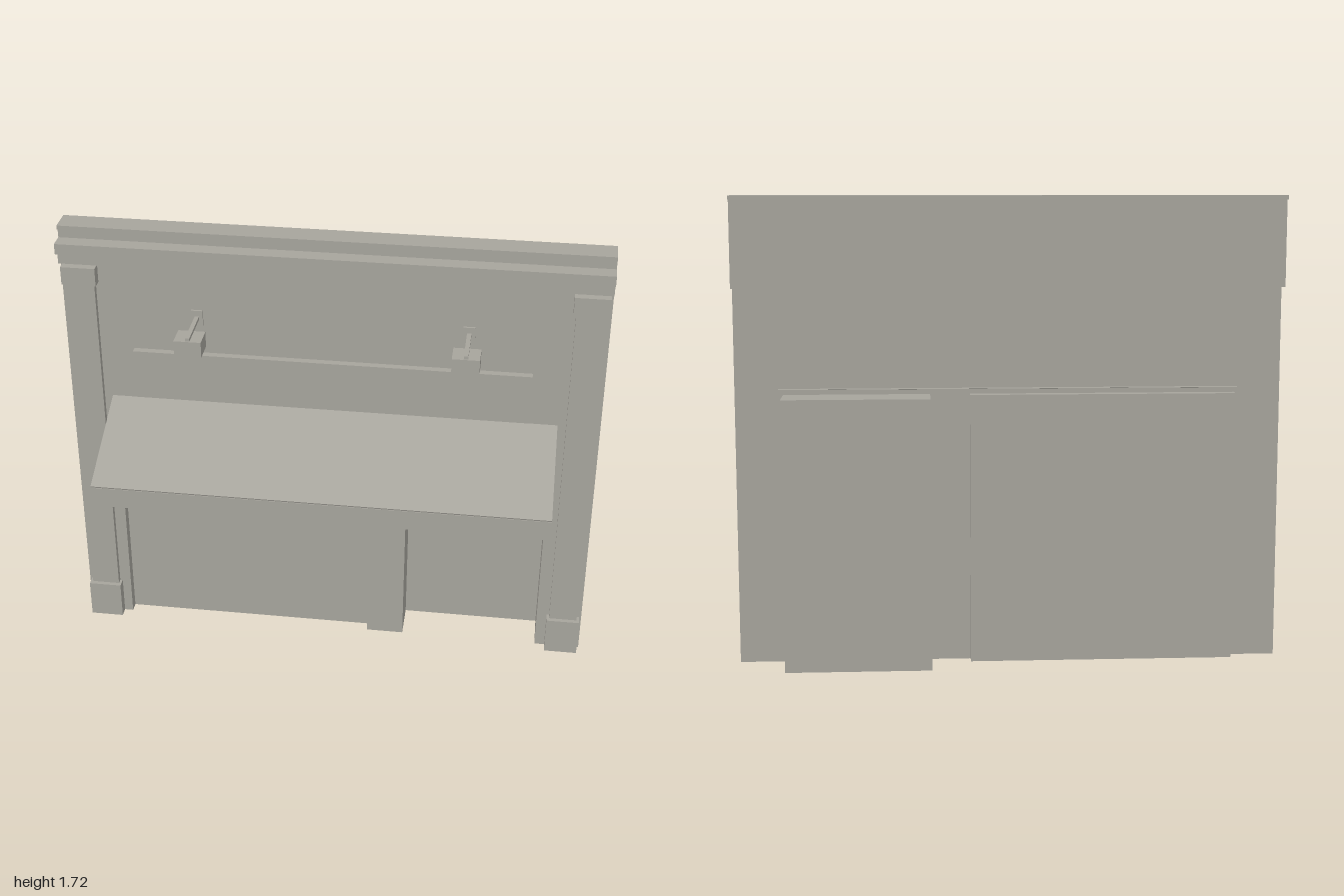
import * as THREE from 'three';

const WALL_Z = -0.12;

export function createModel() {
  const model = new THREE.Group();
  model.name = 'shopfront';
  const stone = new THREE.MeshStandardMaterial({ color: 0xa6a49c, side: THREE.DoubleSide });
  stone.name = 'warm grey';

  const add = (name, geometry, parent = model) => {
    const mesh = new THREE.Mesh(geometry, stone);
    mesh.name = name;
    parent.add(mesh);
    return mesh;
  };
  // Box given by its limits on each axis
  const box = (name, [x0, x1], [y0, y1], [z0, z1], parent) => {
    const mesh = add(name, new THREE.BoxGeometry(x1 - x0, y1 - y0, z1 - z0), parent);
    mesh.position.set((x0 + x1) / 2, (y0 + y1) / 2, (z0 + z1) / 2);
    return mesh;
  };
  // Slanted bar between two [z, y] points
  const bar = (name, x, width, thick, [z0, y0], [z1, y1], parent) => {
    const length = Math.hypot(z1 - z0, y1 - y0);
    const mesh = add(name, new THREE.BoxGeometry(width, thick, length), parent);
    mesh.position.set(x, (y0 + y1) / 2, (z0 + z1) / 2);
    mesh.rotation.x = -Math.atan2(y1 - y0, z1 - z0);
    return mesh;
  };
  // Open, uncapped strip: a polyline swept from z = 0 to z = depth with hard corners
  const ribbon = (points, depth) => {
    const pos = [];
    for (let i = 0; i < points.length - 1; i++) {
      const [ax, ay] = points[i], [bx, by] = points[i + 1];
      pos.push(ax, ay, 0, bx, by, 0, bx, by, depth, ax, ay, 0, bx, by, depth, ax, ay, depth);
    }
    const geometry = new THREE.BufferGeometry();
    geometry.setAttribute('position', new THREE.Float32BufferAttribute(pos, 3));
    geometry.computeVertexNormals();
    return geometry;
  };

  // Wall sheet with two openings that reach the ground
  const recesses = [
    { name: 'windowRecess', x0: -0.83, x1: 0.145, back: -0.16 },
    { name: 'doorRecess', x0: 0.29, x1: 0.825, back: -0.27 },
  ];
  const recessTop = 1.0;
  const outline = [[-1, 0]];
  for (const { x0, x1 } of recesses) outline.push([x0, 0], [x0, recessTop], [x1, recessTop], [x1, 0]);
  outline.push([1, 0], [1, 1.58], [-1, 1.58]);
  const wallShape = new THREE.Shape(outline.map(([x, y]) => new THREE.Vector2(x, y)));
  add('wall', new THREE.ShapeGeometry(wallShape)).position.z = WALL_Z;

  // Recess linings and back sheets, open at the floor
  for (const { name, x0, x1, back } of recesses) {
    const lining = [[x0, 0], [x0, recessTop], [x1, recessTop], [x1, 0]];
    add(name + 'Lining', ribbon(lining, WALL_Z - back)).position.z = back;
    const sheet = add(name + 'Back', new THREE.PlaneGeometry(x1 - x0, recessTop));
    sheet.position.set((x0 + x1) / 2, recessTop / 2, back);
  }

  // Cornice: stepped front, top lip and hanging back sheet, open at both ends
  const cornice = [ // [z, y]
    [WALL_Z, 1.58], [-0.09, 1.58], [-0.09, 1.63], [-0.06, 1.63], [-0.06, 1.67], [-0.12, 1.67],
    [-0.12, 1.705], [-0.11, 1.705], [-0.11, 1.72], [-0.205, 1.72], [-0.205, 1.705],
    [-0.185, 1.705], [-0.185, 1.39],
  ];
  const corniceMesh = add('cornice', ribbon(cornice.map(([z, y]) => [-z, y]), 2));
  corniceMesh.rotation.y = Math.PI / 2;
  corniceMesh.position.x = -1;

  // Pilasters with base and capital
  for (const side of [-1, 1]) {
    const pilaster = new THREE.Group();
    pilaster.name = side < 0 ? 'rightPilaster' : 'leftPilaster';
    model.add(pilaster);
    pilaster.position.x = side * 0.928;
    box('shaft', [-0.054, 0.054], [0.15, 1.5], [WALL_Z, -0.097], pilaster);
    box('base', [-0.064, 0.064], [0, 0.15], [WALL_Z, -0.08], pilaster);
    box('capital', [-0.064, 0.064], [1.5, 1.57], [WALL_Z, -0.08], pilaster);
  }

  // Blank sign board
  box('signBoard', [-0.745, 0.738], [1.04, 1.235], [WALL_Z, -0.093]);

  // Awning with valance and two side struts
  const awning = new THREE.Group();
  awning.name = 'awning';
  model.add(awning);
  bar('canopy', 0, 1.685, 0.008, [WALL_Z, 1.022], [0.268, 0.855], awning);
  box('valance', [-0.8425, 0.8425], [0.775, 0.853], [0.265, 0.27], awning);
  for (const side of [-1, 1]) {
    bar('strut', side * 0.818, 0.01, 0.009, [WALL_Z, 0.672], [0.248, 0.845], awning);
  }

  // Wall lamps
  for (const side of [-1, 1]) {
    const lamp = new THREE.Group();
    lamp.name = side < 0 ? 'rightLamp' : 'leftLamp';
    model.add(lamp);
    lamp.position.x = side * 0.5;
    box('wallPlate', [-0.022, 0.022], [1.35, 1.41], [WALL_Z, -0.112], lamp);
    box('arm', [-0.008, 0.008], [1.375, 1.387], [WALL_Z, 0.063], lamp);
    box('lampHead', [-0.05, 0.05], [1.315, 1.375], [-0.02, 0.067], lamp);
  }

  return model;
}
